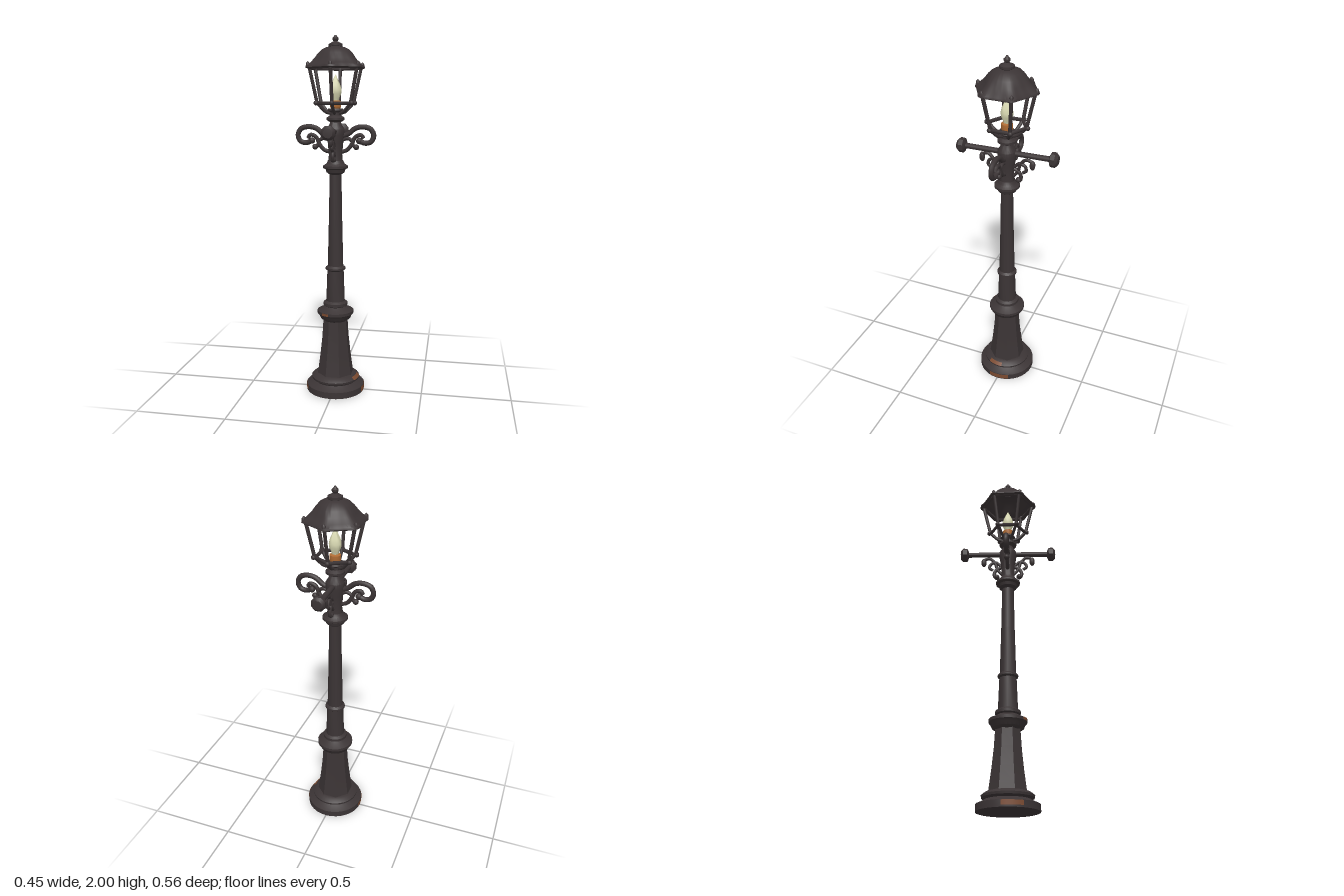
import * as THREE from 'three';
import { toCreasedNormals } from 'three/addons/utils/BufferGeometryUtils.js';

export function createModel() {
  const lamp = new THREE.Group();
  lamp.name = 'streetLamp';
  const material = (name, color) => {
    const m = new THREE.MeshStandardMaterial({ color, side: THREE.DoubleSide });
    m.name = name;
    return m;
  };
  const iron = material('darkIron', 0x3b3435);
  const rust = material('rust', 0x7a4a30);
  const cream = material('bulbCream', 0xd6d6b0);
  const copper = material('socketCopper', 0xb06c34);

  const add = (name, geometry, mat = iron, parent = lamp) => {
    const mesh = new THREE.Mesh(geometry, mat);
    mesh.name = name;
    parent.add(mesh);
    return mesh;
  };
  // Profile points are [radius, height], listed from the bottom up
  const turned = (profile, sides = 24, crease = 0.6) =>
    toCreasedNormals(new THREE.LatheGeometry(profile.map(p => new THREE.Vector2(...p)), sides), crease);
  const tube = (points, radius, segments = 24) =>
    new THREE.TubeGeometry(new THREE.CatmullRomCurve3(points.map(p => new THREE.Vector3(...p))), segments, radius, 8);
  const ball = (r, x, y, z, sx = 1, sy = 1, sz = 1) =>
    new THREE.SphereGeometry(r, 12, 8).scale(sx, sy, sz).translate(x, y, z);

  // Round foot
  add('foot', turned([[0, 0], [0.165, 0], [0.165, 0.036], [0.145, 0.044], [0.122, 0.058],
    [0.135, 0.068], [0.137, 0.08], [0.12, 0.094], [0.1, 0.1], [0, 0.1]], 32));

  // Flared eight-sided pedestal and its collar
  add('pedestal', turned([[0.106, 0.09], [0.1, 0.13], [0.088, 0.22], [0.077, 0.32], [0.07, 0.43]], 8).rotateY(Math.PI / 8));
  add('pedestalCollar', turned([[0.066, 0.415], [0.085, 0.428], [0.092, 0.445], [0.103, 0.458], [0.103, 0.474],
    [0.08, 0.484], [0.058, 0.498], [0.068, 0.504], [0.068, 0.52], [0.05, 0.532]]));

  // Tapering post with a ring part way up
  add('lowerPost', turned([[0.054, 0.52], [0.047, 0.71]], 12));
  add('postRing', turned([[0.046, 0.706], [0.056, 0.714], [0.056, 0.724], [0.043, 0.735]]));
  add('upperPost', turned([[0.045, 0.72], [0.038, 1.0], [0.033, 1.27]], 12));
  add('upperCollar', turned([[0.033, 1.252], [0.05, 1.264], [0.055, 1.28], [0.069, 1.288],
    [0.069, 1.3], [0.05, 1.312], [0.042, 1.33]]));
  add('bracketHub', turned([[0.042, 1.31], [0.037, 1.36], [0.043, 1.43], [0.05, 1.47], [0.05, 1.5],
    [0.036, 1.522], [0.029, 1.538], [0.05, 1.55], [0.05, 1.562], [0.032, 1.574], [0.032, 1.59], [0.045, 1.6], [0.04, 1.612], [0, 1.612]]));

  // Scrolled brackets to the left and right
  for (const s of [1, -1]) {
    const bracket = new THREE.Group();
    bracket.name = s > 0 ? 'leftScroll' : 'rightScroll';
    lamp.add(bracket);
    const path = pts => pts.map(([x, y]) => [s * x, y, 0]);
    add('outerScroll', tube(path([[0.03, 1.46], [0.07, 1.475], [0.11, 1.505], [0.155, 1.513], [0.195, 1.5],
      [0.211, 1.465], [0.196, 1.433], [0.165, 1.425], [0.135, 1.435]]), 0.014, 40), iron, bracket);
    add('scrollTip', ball(0.018, s * 0.132, 1.437, 0), iron, bracket);
    add('innerScroll', tube(path([[0.03, 1.375], [0.065, 1.388], [0.088, 1.415], [0.112, 1.46],
      [0.142, 1.468], [0.155, 1.45]]), 0.011, 30), iron, bracket);
    add('lowerCurl', tube(path([[0.035, 1.44], [0.065, 1.45], [0.09, 1.438], [0.1, 1.41], [0.115, 1.4]]), 0.01), iron, bracket);
    add('curlTip', ball(0.016, s * 0.115, 1.403, 0), iron, bracket);
  }

  // Leafy supports at front and back
  for (const s of [1, -1]) {
    const support = new THREE.Group();
    support.name = s > 0 ? 'frontLeafSupport' : 'backLeafSupport';
    lamp.add(support);
    const path = pts => pts.map(([z, y]) => [0, y, s * z]);
    add('leafStem', tube(path([[0.03, 1.35], [0.06, 1.385], [0.075, 1.43], [0.105, 1.462], [0.138, 1.455], [0.147, 1.435]]), 0.009), iron, support);
    add('leaf', ball(0.024, 0, 1.437, s * 0.142, 0.6, 1.15, 0.65), iron, support);
    add('middleCurl', tube(path([[0.04, 1.41], [0.07, 1.435], [0.1, 1.425], [0.108, 1.4], [0.09, 1.385]]), 0.009), iron, support);
    add('lowerCurl', tube(path([[0.04, 1.4], [0.068, 1.385], [0.08, 1.355], [0.07, 1.333], [0.055, 1.34]]), 0.01), iron, support);
    add('curlTip', ball(0.016, 0, 1.338, s * 0.066), iron, support);
  }

  // Ladder bar, turned slightly, with a stud at each end
  const ladderBar = new THREE.Group();
  ladderBar.name = 'ladderBar';
  ladderBar.position.y = 1.488;
  ladderBar.rotation.y = 0.035;
  lamp.add(ladderBar);
  add('bar', new THREE.CylinderGeometry(0.0145, 0.0145, 0.48, 12).rotateX(Math.PI / 2), iron, ladderBar);
  for (const s of [1, -1]) {
    const stud = turned([[0, 0.23], [0.02, 0.232], [0.039, 0.24], [0.04, 0.264], [0.026, 0.278], [0, 0.28]], 8);
    add('barEnd', stud.rotateY(Math.PI / 8).rotateX(s * Math.PI / 2), iron, ladderBar);
  }

  // Six-sided lantern frame, with corners on the z axis
  const frame = new THREE.Group();
  frame.name = 'lanternFrame';
  lamp.add(frame);
  const hexRing = (radius, thickness, y) =>
    new THREE.TorusGeometry(radius, thickness, 6, 6).rotateX(Math.PI / 2).rotateY(Math.PI / 6).translate(0, y, 0);
  add('lowerRing', hexRing(0.104, 0.01, 1.64), iron, frame);
  add('upperRing', hexRing(0.15, 0.01, 1.828), iron, frame);
  for (let i = 0; i < 6; i++) {
    const corner = new THREE.Group();
    corner.name = 'lanternCorner';
    corner.rotation.y = i * Math.PI / 3;
    frame.add(corner);
    add('cornerPost', tube([[0, 1.635, 0.104], [0, 1.832, 0.149]], 0.0095, 1), iron, corner);
    add('cradleArm', tube([[0, 1.585, 0.025], [0, 1.594, 0.056], [0, 1.615, 0.08], [0, 1.645, 0.108]], 0.009, 10), iron, corner);
    add('lowerKnob', ball(0.013, 0, 1.641, 0.112), iron, corner);
    add('roofStud', turned([[0, 1.825], [0.011, 1.83], [0.011, 1.848], [0.006, 1.855], [0, 1.86]], 8)
      .translate(0, 0, 0.156), iron, corner);
  }

  // Bell-shaped roof, swelling out to a lobe at each corner
  const roof = new THREE.LatheGeometry([[0.148, 1.822], [0.16, 1.828], [0.157, 1.838], [0.138, 1.85], [0.115, 1.875],
    [0.096, 1.902], [0.076, 1.922], [0.05, 1.935], [0.025, 1.94]].map(p => new THREE.Vector2(...p)), 72);
  const pos = roof.attributes.position;
  for (let i = 0; i < pos.count; i++) {
    const x = pos.getX(i), z = pos.getZ(i);
    const c = Math.cos(6 * Math.atan2(x, z));
    const eave = THREE.MathUtils.smoothstep(Math.hypot(x, z), 0.06, 0.155);
    const k = 1 + eave * (0.13 * Math.pow((1 + c) / 2, 2) - 0.07);
    pos.setX(i, x * k);
    pos.setZ(i, z * k);
  }
  add('roof', toCreasedNormals(roof, 0.7));
  add('finial', turned([[0.03, 1.93], [0.038, 1.94], [0.038, 1.952], [0.022, 1.96], [0.011, 1.966], [0.017, 1.975],
    [0.017, 1.983], [0.009, 1.991], [0.005, 1.999], [0, 2]], 16));

  // Flame-shaped bulb in its socket
  add('socket', turned([[0, 1.605], [0.022, 1.605], [0.03, 1.62], [0.03, 1.65], [0.02, 1.655], [0, 1.655]], 16), copper);
  add('bulb', turned([[0.017, 1.65], [0.021, 1.667], [0.031, 1.69], [0.033, 1.71], [0.027, 1.735],
    [0.015, 1.762], [0.006, 1.782], [0, 1.794]], 20, 1.2), cream);

  // Thin rust patches: radii at bottom and top, heights, start angle from +z, sweep
  const patches = [
    [0.1665, 0.1665, 0.006, 0.035, 1.25, 0.75],
    [0.1665, 0.1665, 0.01, 0.034, 4.55, 0.7],
    [0.1385, 0.122, 0.08, 0.095, 1.05, 0.65],
    [0.1045, 0.1045, 0.459, 0.473, 5.65, 0.4],
  ];
  for (const [r0, r1, y0, y1, start, sweep] of patches) {
    add('rustPatch', new THREE.CylinderGeometry(r1, r0, y1 - y0, 12, 1, true, start, sweep)
      .translate(0, (y0 + y1) / 2, 0), rust);
  }
  return lamp;
}
